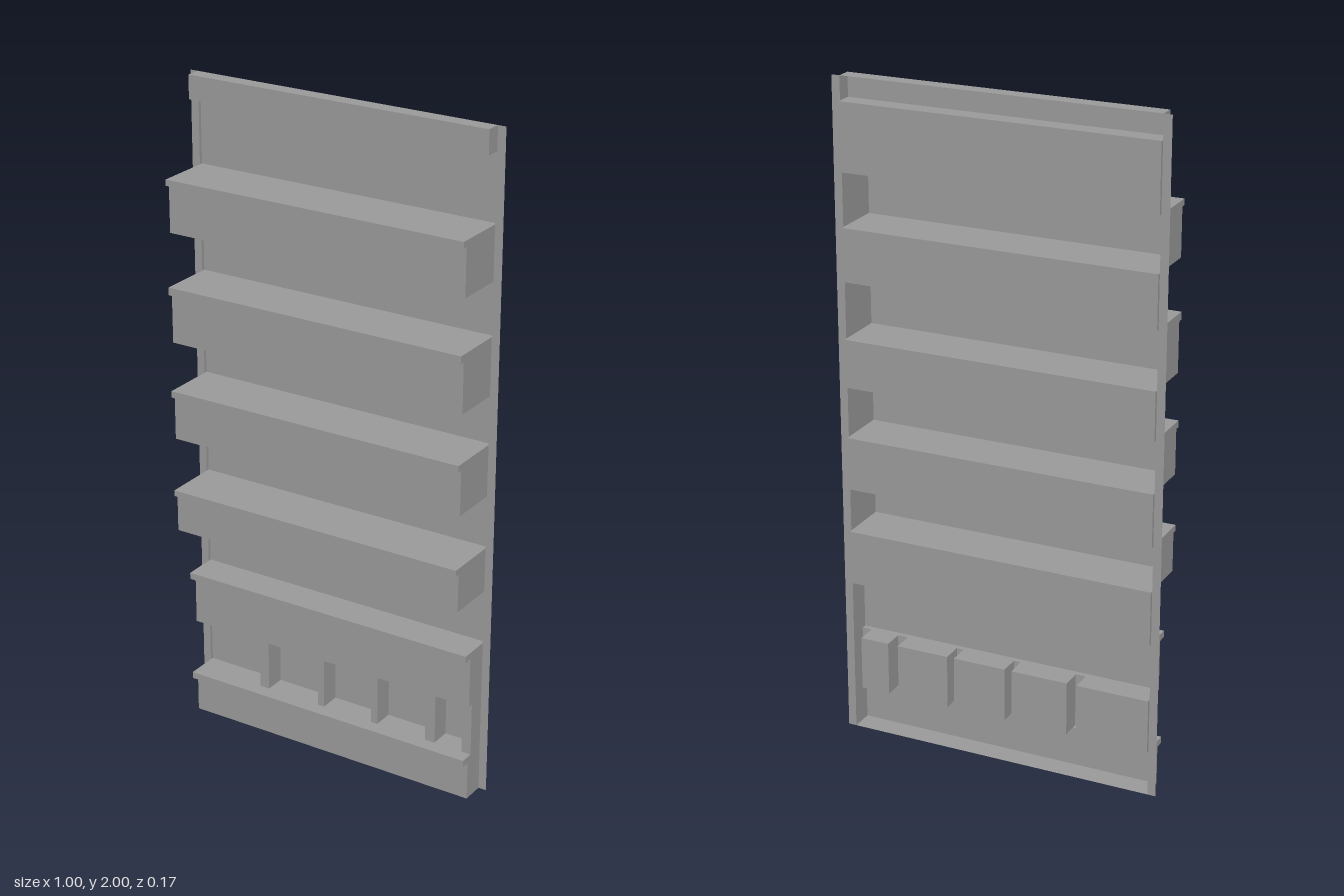
import * as THREE from 'three';

const W = 0.475;       // half width of the shelving
const FRAME = -0.077;  // plane of the side flanges
const BACK = -0.087;   // plane of the recessed panels

const material = new THREE.MeshStandardMaterial({ color: 0x999999, flatShading: true, side: THREE.DoubleSide });

// Open sheet: a polyline in XY swept along Z from z0 to z1
function sweep(points, z0, z1) {
  const pos = [];
  for (let i = 0; i < points.length - 1; i++) {
    const [ax, ay] = points[i], [bx, by] = points[i + 1];
    pos.push(ax, ay, z0, bx, by, z0, bx, by, z1, ax, ay, z0, bx, by, z1, ax, ay, z1);
  }
  const g = new THREE.BufferGeometry();
  g.setAttribute('position', new THREE.Float32BufferAttribute(pos, 3));
  g.computeVertexNormals();
  return g;
}

function flat(points) {
  return new THREE.ShapeGeometry(new THREE.Shape(points.map(([x, y]) => new THREE.Vector2(x, y))));
}

export function createModel() {
  const model = new THREE.Group();
  const add = (parent, name, geometry) => {
    const mesh = new THREE.Mesh(geometry, material);
    mesh.name = name;
    parent.add(mesh);
    return mesh;
  };

  // Section with a (z, y) profile running across the width, closed at both ends
  function section(name, profile, outline) {
    const group = new THREE.Group();
    group.name = name;
    add(group, name + 'Sheet', sweep(profile, -W, W).rotateY(-Math.PI / 2));
    for (const [side, x] of [['left', W], ['right', -W]]) {
      add(group, side + 'End', flat(outline).rotateY(-Math.PI / 2).translate(x, 0, 0));
    }
    model.add(group);
  }

  // Front of a box section with a lip along its top edge
  const lippedFace = (bottom, top, front, lip, lipHeight) =>
    [[lip, top], [lip, top - lipHeight], [front, top - lipHeight], [front, bottom]];

  // Header at the top
  const headerFace = [[FRAME, 2], [-0.032, 2], [-0.032, 1.93]];
  section('header', [...headerFace, [BACK, 1.93]], [...headerFace, [FRAME, 1.93]]);

  // Four deep shelves: bottom, top, lip height
  const shelves = [[0.645, 0.78, 0.018], [0.94, 1.095, 0.02], [1.24, 1.412, 0.023], [1.57, 1.73, 0.018]];
  for (const [bottom, top, lipHeight] of shelves) {
    const face = lippedFace(bottom, top, 0.072, 0.087, lipHeight);
    section('shelf', [[BACK, top], ...face, [BACK, bottom]], [[FRAME, top], ...face, [FRAME, bottom]]);
  }

  // Recessed panels between them
  const recesses = [[0.48, 0.645], [0.78, 0.94], [1.095, 1.24], [1.412, 1.57], [1.73, 1.93]];
  for (const [y0, y1] of recesses) {
    section('backPanel', [[BACK, y0], [BACK, y1]], [[FRAME, y0], [BACK, y0], [BACK, y1], [FRAME, y1]]);
  }

  // Shallow fascia above the bins, and the plinth below
  const FASCIA = -0.008, LIP = 0.019, binLow = 0.14, binHigh = 0.305;
  const fasciaFace = lippedFace(binHigh, 0.48, FASCIA, LIP, 0.02);
  section('upperFascia', [[BACK, 0.48], ...fasciaFace], [[FRAME, 0.48], ...fasciaFace, [FRAME, binHigh]]);
  const plinthFace = lippedFace(0, binLow, FASCIA, LIP, 0.02);
  section('plinth', [...plinthFace, [FRAME, 0]], [[FRAME, binLow], ...plinthFace, [FRAME, 0]]);

  // Bin row: folded wall in (x, z), with hollow dividers stepping forward
  const DIV = -0.024;
  const wall = [[-W, FRAME], [-W, BACK]];
  for (const [x0, x1] of [[-0.254, -0.223], [-0.048, -0.026], [0.138, 0.16], [0.323, 0.355]]) {
    wall.push([x0, BACK], [x0, DIV], [x1, DIV], [x1, BACK]);
  }
  wall.push([0.445, BACK], [0.445, DIV], [W, DIV]);
  const bins = new THREE.Group();
  bins.name = 'bins';
  add(bins, 'binWall', sweep([...wall, [W, FRAME]], -binHigh, -binLow).rotateX(Math.PI / 2));
  for (const [name, y, front] of [['binFloor', binLow, LIP], ['binCeiling', binHigh, FASCIA]]) {
    add(bins, name, flat([...wall, [W, front], [-W, front]]).rotateX(Math.PI / 2).translate(0, y, 0));
  }
  model.add(bins);

  // Thin flanges running the full height at each side
  for (const [name, s] of [['leftFlange', 1], ['rightFlange', -1]]) {
    add(model, name, new THREE.PlaneGeometry(0.5 - W, 2)).position.set(s * (0.5 + W) / 2, 1, FRAME);
  }
  return model;
}
